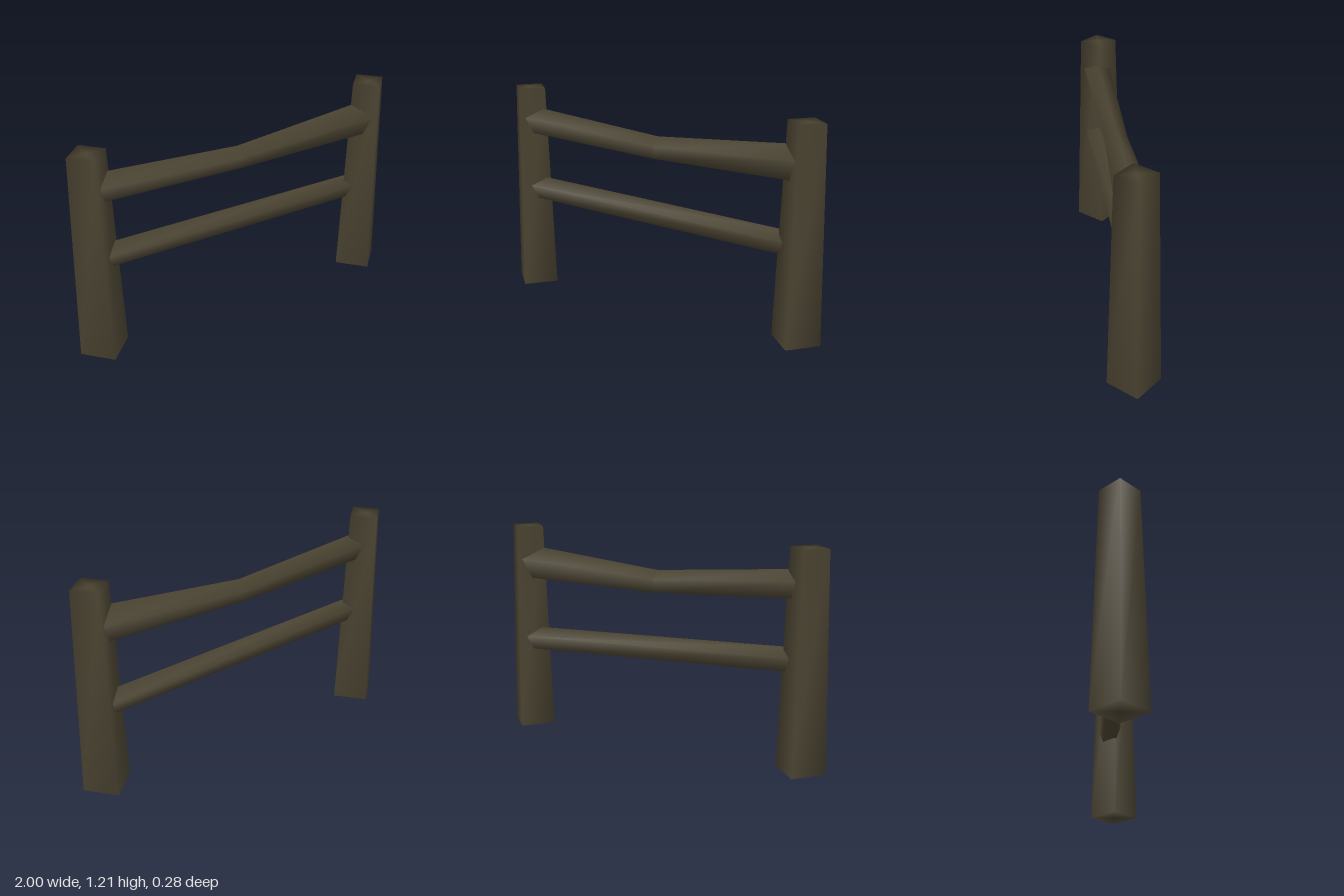
import * as THREE from 'three';
import { mergeVertices } from 'three/addons/utils/BufferGeometryUtils.js';

const POST_X = 0.859;

// Joins all corners so shading runs smoothly around the whole part
function smooth(geometry) {
  geometry.deleteAttribute('uv');
  geometry.deleteAttribute('normal');
  const merged = mergeVertices(geometry);
  merged.computeVertexNormals();
  return merged;
}

// Five-sided pole through sections { x, y, z, r }, ordered along +x
function poleGeometry(sections) {
  const sides = 5, positions = [], index = [];
  for (const { x, y, z, r } of sections) {
    for (let i = 0; i < sides; i++) {
      const a = (i / sides) * Math.PI * 2;
      positions.push(x, y + r * Math.cos(a), z + r * Math.sin(a));
    }
  }
  for (let s = 0; s < sections.length - 1; s++) {
    for (let i = 0; i < sides; i++) {
      const a = s * sides + i, b = s * sides + (i + 1) % sides;
      index.push(a, b, a + sides, b, b + sides, a + sides);
    }
  }
  // End caps
  const last = (sections.length - 1) * sides;
  for (let i = 1; i < sides - 1; i++) {
    index.push(0, i + 1, i, last, last + i, last + i + 1);
  }
  const geometry = new THREE.BufferGeometry();
  geometry.setAttribute('position', new THREE.Float32BufferAttribute(positions, 3));
  geometry.setIndex(index);
  geometry.computeVertexNormals();
  return geometry;
}

export function createModel() {
  const group = new THREE.Group();
  group.name = 'fence';
  const wood = new THREE.MeshStandardMaterial({ color: 0x4a4331 });
  wood.name = 'dark wood';

  const add = (name, geometry) => {
    const mesh = new THREE.Mesh(geometry, wood);
    mesh.name = name;
    group.add(mesh);
    return mesh;
  };

  // Tapered four-sided posts, corner forward
  const postGeometry = smooth(new THREE.CylinderGeometry(0.105, 0.141, 1.205, 4));
  for (const side of [-1, 1]) {
    add(side > 0 ? 'leftPost' : 'rightPost', postGeometry)
      .position.set(side * POST_X, 0.6025, 0);
  }

  // Sagging upper rail
  add('upperRail', poleGeometry([
    { x: -0.85, y: 1.012, z: 0.012, r: 0.081 },
    { x: 0, y: 0.949, z: -0.007, r: 0.066 },
    { x: 0.85, y: 0.987, z: 0, r: 0.1 },
  ]));

  // Straight, slanting lower rail
  add('lowerRail', poleGeometry([
    { x: -0.85, y: 0.605, z: 0.017, r: 0.069 },
    { x: 0.85, y: 0.532, z: -0.03, r: 0.069 },
  ]));

  return group;
}
